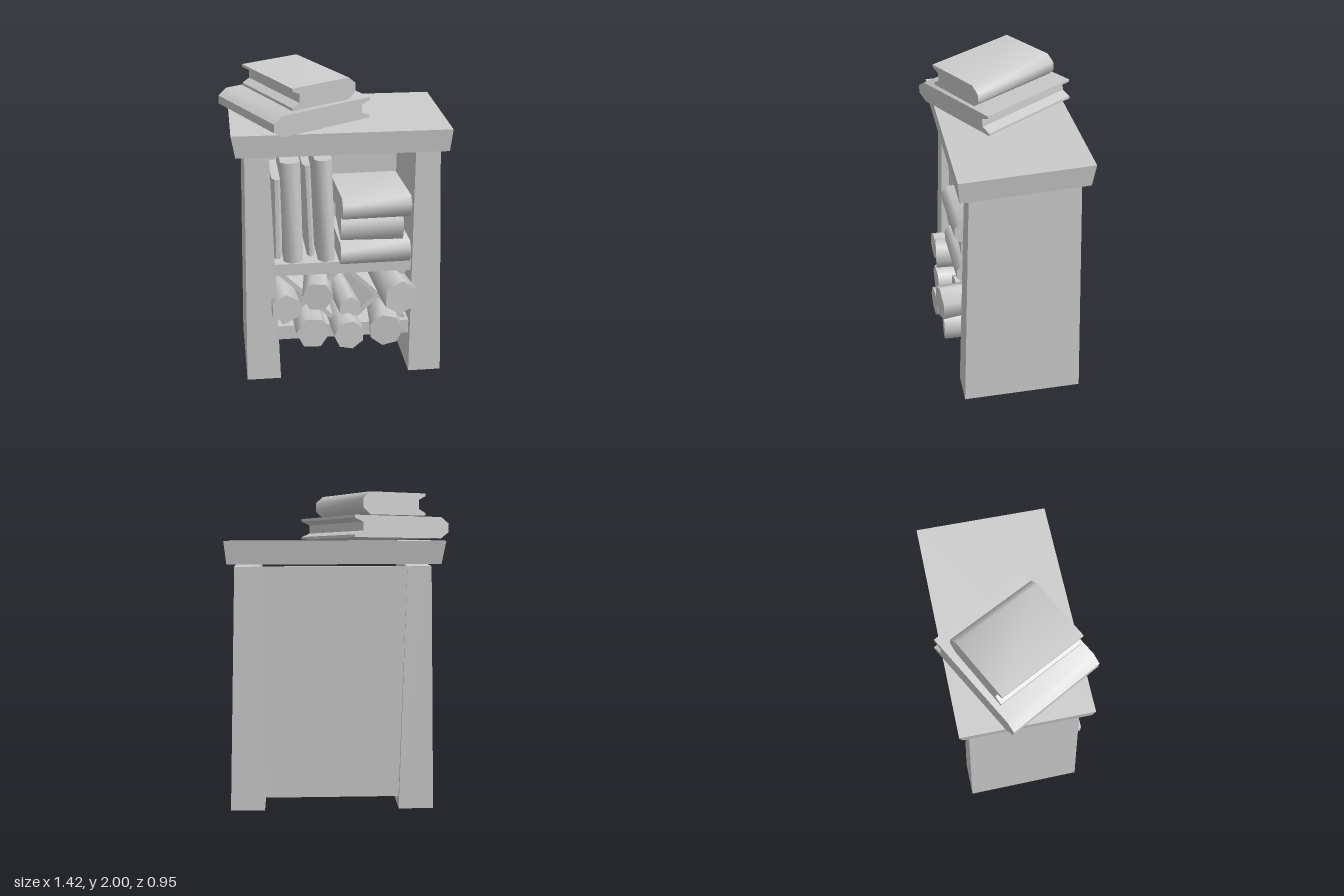
import * as THREE from 'three';
import { toCreasedNormals } from 'three/addons/utils/BufferGeometryUtils.js';

const material = new THREE.MeshStandardMaterial({ color: 0xcccccc, side: THREE.DoubleSide });

// Box whose bottom and top rectangles [x0, x1, z0, z1] differ
function taperBox(y0, bottom, y1, top, openBottom = false) {
  const g = new THREE.BoxGeometry(1, 1, 1);
  const p = g.attributes.position;
  for (let i = 0; i < p.count; i++) {
    const up = p.getY(i) > 0;
    const r = up ? top : bottom;
    p.setXYZ(i, r[p.getX(i) > 0 ? 1 : 0], up ? y1 : y0, r[p.getZ(i) > 0 ? 3 : 2]);
  }
  if (openBottom) g.setIndex(Array.from(g.index.array).filter((_, i) => i < 18 || i >= 24));
  g.computeVertexNormals();
  return g;
}

// Book lying flat: bulging spine at -x, hollow fore-edge at +x, length along z
function bookGeometry(width, thick, length, bulge = 0.035) {
  const w = width / 2, t = thick / 2;
  const shape = new THREE.Shape([
    [-w + bulge, -t], [w, -t], [w, -t * 0.75], [w - bulge, -t * 0.4], [w - bulge, t * 0.4],
    [w, t * 0.75], [w, t], [-w + bulge, t], [-w, t * 0.4], [-w, -t * 0.4],
  ].map(([x, y]) => new THREE.Vector2(x, y)));
  const g = new THREE.ExtrudeGeometry(shape, { depth: length, bevelEnabled: false });
  g.translate(0, 0, -length / 2);
  return toCreasedNormals(g, 0.9);
}

export function createModel() {
  const model = new THREE.Group();
  const add = (name, geometry, pos = [0, 0, 0], rot = [0, 0, 0], order = 'XYZ') => {
    const m = new THREE.Mesh(geometry, material);
    m.name = name;
    m.position.set(...pos);
    m.rotation.set(...rot, order);
    model.add(m);
    return m;
  };
  const board = (name, x0, x1, y0, y1, z0, z1) =>
    add(name, taperBox(y0, [x0, x1, z0, z1], y1, [x0, x1, z0, z1]));

  // Tapered side walls, open underneath
  add('rightWall', taperBox(0, [-0.6, -0.38, -0.41, 0.355], 1.54, [-0.575, -0.425, -0.375, 0.3], true));
  add('leftWall', taperBox(0, [0.47, 0.685, -0.41, 0.355], 1.54, [0.49, 0.645, -0.375, 0.3], true));

  // Back panel and shelves
  board('backPanel', -0.44, 0.51, 0.07, 1.54, -0.37, -0.34);
  board('middleShelf', -0.42, 0.49, 0.705, 0.785, -0.35, 0.29);
  board('bottomShelf', -0.4, 0.48, 0.25, 0.345, -0.35, 0.29);

  // Top slab, flared and rising slightly to the back
  const slab = taperBox(1.54, [-0.63, 0.69, -0.42, 0.36], 1.682, [-0.655, 0.705, -0.44, 0.37]);
  const sp = slab.attributes.position;
  for (let i = 0; i < sp.count; i++) sp.setY(i, sp.getY(i) - sp.getZ(i) * 0.04);
  slab.computeVertexNormals();
  add('topSlab', slab);

  // Two books lying askew on the top
  add('largeTopBook', bookGeometry(0.71, 0.135, 0.66, 0.06), [-0.245, 1.76, -0.015], [0.07, 0.5, 0]);
  add('smallTopBook', bookGeometry(0.46, 0.14, 0.6, 0.05), [-0.215, 1.905, -0.01], [0.07, 0.48 + Math.PI, 0]);

  // Standing books: [x, thickness, height, front z, lean]
  [
    [-0.375, 0.06, 0.54, 0.2, 0],
    [-0.285, 0.125, 0.67, 0.28, 0.02],
    [-0.17, 0.05, 0.62, 0.18, 0.04],
    [-0.075, 0.11, 0.68, 0.28, 0.03],
  ].forEach(([x, t, h, z, lean], i) => add('standingBook' + (i + 1), bookGeometry(0.45, t, h),
    [x, 0.785 + h / 2, z - 0.225], [0, Math.PI / 2, Math.PI / 2 + lean], 'ZYX'));

  // Stacked books: [x, y, thickness, length, front z, turn]
  [
    [0.235, 0.855, 0.14, 0.45, 0.36, 0.02],
    [0.235, 1.01, 0.17, 0.4, 0.31, -0.05],
    [0.235, 1.165, 0.14, 0.44, 0.37, 0.03],
  ].forEach(([x, y, t, len, z, turn], i) => add('stackedBook' + (i + 1), bookGeometry(0.52, t, len),
    [x, y, z - 0.26], [0, Math.PI / 2 + turn, 0]));

  // Crossed dividers between the shelves
  for (const cx of [-0.18, 0.27]) {
    for (const s of [-1, 1]) {
      add('crossDivider', new THREE.BoxGeometry(0.5, 0.03, 0.6), [cx, 0.525, -0.04], [0, 0, s * 0.77]);
    }
  }

  // Rolled scrolls: [x, y, radius, front z, sides, turn]
  [
    [-0.34, 0.52, 0.1, 0.4, 6, 0.08],
    [-0.14, 0.6, 0.1, 0.41, 6, -0.1],
    [0.39, 0.59, 0.115, 0.46, 6, 0.12],
    [-0.17, 0.345, 0.11, 0.41, 6, 0.05],
    [0.06, 0.34, 0.1, 0.455, 7, 0.08],
    [0.3, 0.35, 0.11, 0.43, 7, -0.06],
    [0.08, 0.47, 0.075, 0.32, 6, 0.1],
  ].forEach(([x, y, r, z, sides, turn], i) => {
    const g = new THREE.CylinderGeometry(r, r * 0.85, 0.65, sides);
    g.rotateY(i * 0.5);
    g.rotateX(Math.PI / 2);
    g.translate(0, 0, -0.325);
    add('scroll' + (i + 1), toCreasedNormals(g, 1.1), [x, y, z], [0, turn, 0]);
  });

  return model;
}
